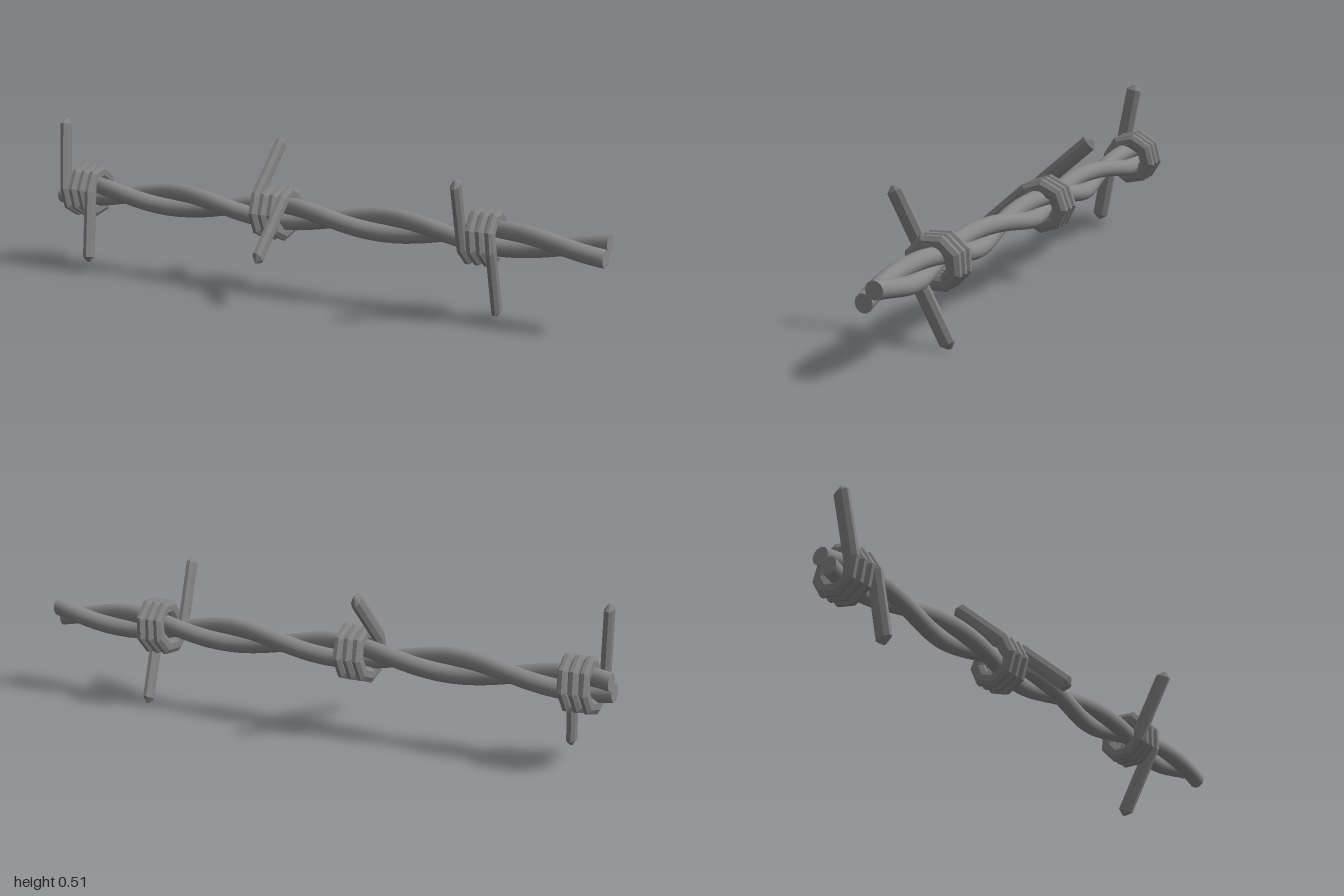
import * as THREE from 'three';

const CENTRE_Y = 0.263, CENTRE_Z = -0.04;
const rad = THREE.MathUtils.degToRad;

// Skin a list of rings (arrays of Vector3, counter-clockwise along the travel) and cap both ends
function loft(rings, flat) {
  const n = rings[0].length, pos = [], idx = [];
  rings.forEach(ring => ring.forEach(p => pos.push(p.x, p.y, p.z)));
  for (let i = 0; i < rings.length - 1; i++) {
    for (let j = 0; j < n; j++) {
      const a = i * n + j, b = i * n + (j + 1) % n;
      idx.push(a, b, b + n, a, b + n, a + n);
    }
  }
  for (const [ring, isEnd] of [[rings[0], false], [rings[rings.length - 1], true]]) {
    const base = pos.length / 3;
    ring.forEach(p => pos.push(p.x, p.y, p.z));
    for (let j = 1; j < n - 1; j++) {
      if (isEnd) idx.push(base, base + j, base + j + 1);
      else idx.push(base, base + j + 1, base + j);
    }
  }
  let geo = new THREE.BufferGeometry();
  geo.setAttribute('position', new THREE.Float32BufferAttribute(pos, 3));
  geo.setIndex(idx);
  if (flat) geo = geo.toNonIndexed();
  geo.computeVertexNormals();
  return geo;
}

// Elliptical ring around c spanned by u and v
function makeRing(c, u, v, sides, turn = 0) {
  return Array.from({ length: sides }, (_, j) => {
    const a = (j / sides) * Math.PI * 2 + turn;
    return c.clone().addScaledVector(u, Math.cos(a)).addScaledVector(v, Math.sin(a));
  });
}

// One of the two long twisted wires
function strandGeometry(phase) {
  const rings = [], steps = 50, helixR = 0.027, wireR = 0.029, halfTurn = 0.4;
  const u = new THREE.Vector3(0, wireR, 0), v = new THREE.Vector3(0, 0, wireR);
  for (let i = 0; i <= steps; i++) {
    const x = -1 + (2 * i) / steps;
    const a = phase + rad(129) + ((1 - x) / halfTurn) * Math.PI;
    const c = new THREE.Vector3(x, CENTRE_Y + helixR * Math.sin(a), CENTRE_Z + helixR * Math.cos(a));
    rings.push(makeRing(c, u, v, 16));
  }
  return loft(rings, false);
}

// A barb: straight spike, three eight-sided coils, straight spike
function barbGeometry({ angle, x0, x1, tip0, tip1, length }) {
  const rings = [], coilR = 0.067, turns = 3, perTurn = 8;
  const rx = 0.0155, rn = 0.028, phi0 = rad(angle);
  const add = (x, phi, along, scale) => {
    const normal = new THREE.Vector3(0, Math.sin(phi), Math.cos(phi));
    const travel = new THREE.Vector3(0, -Math.cos(phi), Math.sin(phi));
    const c = new THREE.Vector3(x, CENTRE_Y, CENTRE_Z - 0.005)
      .addScaledVector(normal, coilR).addScaledVector(travel, along);
    rings.push(makeRing(c, new THREE.Vector3(rx * scale, 0, 0),
      normal.multiplyScalar(rn * scale), 8, Math.PI / 8));
  };
  const bevel = 0.018, k = bevel / length;
  add(tip0, phi0, -length, 0.2);
  add(THREE.MathUtils.lerp(tip0, x0, k), phi0, -length + bevel, 1);
  for (let i = 0; i <= turns * perTurn; i++) {
    const t = i / (turns * perTurn);
    add(THREE.MathUtils.lerp(x0, x1, t), phi0 - t * turns * Math.PI * 2, 0, 1);
  }
  add(THREE.MathUtils.lerp(tip1, x1, k), phi0, length - bevel, 1);
  add(tip1, phi0, length, 0.2);
  return loft(rings, true);
}

export function createModel() {
  const group = new THREE.Group();
  group.name = 'barbedWire';
  const strandMat = new THREE.MeshStandardMaterial({ color: 0x888888 });
  const barbMat = new THREE.MeshStandardMaterial({ color: 0x828282, flatShading: true });
  const add = (name, geo, mat) => {
    const mesh = new THREE.Mesh(geo, mat);
    mesh.name = name;
    group.add(mesh);
  };

  // Twisted pair
  add('strandA', strandGeometry(0), strandMat);
  add('strandB', strandGeometry(Math.PI), strandMat);

  // Barbs, each turned and leaning a little differently
  const barbs = [
    { angle: 9, x0: -0.953, x1: -0.85, tip0: -0.972, tip1: -0.838, length: 0.242 },
    { angle: 48, x0: -0.203, x1: -0.102, tip0: -0.209, tip1: -0.096, length: 0.249 },
    { angle: -25, x0: 0.545, x1: 0.642, tip0: 0.568, tip1: 0.62, length: 0.256 },
  ];
  barbs.forEach((b, i) => add('barb' + (i + 1), barbGeometry(b), barbMat));
  return group;
}
